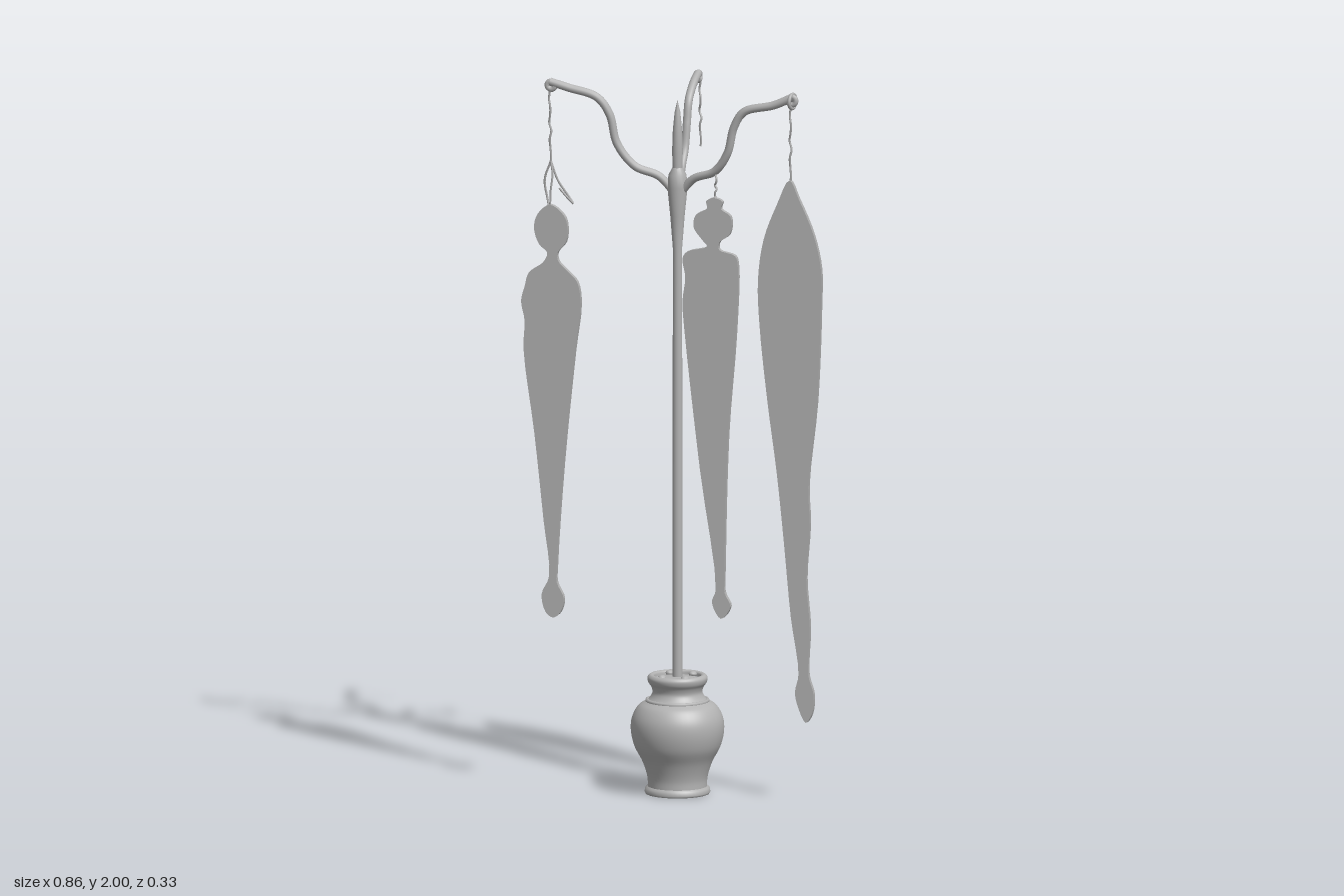
import * as THREE from 'three';

const AXIS_Z = 0.037; // pot and pole axis
const HANG_Z = 0.086; // plane of the hanging blades

export function createModel() {
  const root = new THREE.Group();
  const grey = new THREE.MeshStandardMaterial({ color: 0xb2b2b2 });
  grey.name = 'plain grey';

  const add = (name, geometry, x = 0, y = 0, z = 0) => {
    const mesh = new THREE.Mesh(geometry, grey);
    mesh.name = name;
    mesh.position.set(x, y, z);
    root.add(mesh);
    return mesh;
  };
  const curve = (pts) => new THREE.CatmullRomCurve3(pts.map((p) => new THREE.Vector3(...p)), false, 'centripetal');
  const lathe = (pts, seg) => new THREE.LatheGeometry(pts.map(([r, y]) => new THREE.Vector2(r, y)), seg);
  const smoothProfile = (pts, n) => curve(pts.map(([r, y]) => [r, y, 0])).getPoints(n).map((p) => [Math.max(p.x, 0), p.y]);

  // Pot: foot, belly, neck and lip
  add('potFoot', lathe([[0, 0], [0.088, 0], [0.091, 0.005], [0.089, 0.016], [0.08, 0.022]], 48), 0, 0, AXIS_Z);
  add('potBody', lathe(smoothProfile([[0.082, 0.015], [0.083, 0.045], [0.097, 0.09], [0.12, 0.135], [0.129, 0.18],
    [0.125, 0.215], [0.108, 0.245], [0.086, 0.26]], 36), 48), 0, 0, AXIS_Z);
  add('potNeck', lathe(smoothProfile([[0.086, 0.258], [0.074, 0.272], [0.069, 0.285], [0.073, 0.3], [0.081, 0.312],
    [0.083, 0.325], [0.076, 0.333], [0.066, 0.331], [0.063, 0.32]], 36), 48), 0, 0, AXIS_Z);
  const collar = add('potCollarRing', new THREE.TorusGeometry(0.083, 0.006, 8, 48), 0, 0.26, AXIS_Z);
  collar.rotation.x = Math.PI / 2;
  add('potFilling', lathe([[0.066, 0.318], [0.05, 0.324], [0, 0.328]], 32), 0, 0, AXIS_Z);
  for (const sx of [-1, 1]) for (const sz of [-1, 1]) {
    const stud = add('fillingStud', new THREE.SphereGeometry(0.012, 10, 8), sx * 0.033, 0.328, AXIS_Z + sz * 0.04);
    stud.scale.y = 0.7;
  }

  // Pole flaring into a fork, with a pointed spike in the middle
  add('pole', lathe([[0.014, 0.31], [0.014, 0.9], [0.013, 1.3], [0.013, 1.53], [0.02, 1.62],
    [0.028, 1.7], [0.025, 1.735], [0.014, 1.755]], 20), 0, 0, AXIS_Z);
  add('centreSpike', lathe([[0.012, 1.72], [0.015, 1.8], [0.013, 1.86], [0.008, 1.91], [0, 1.945]], 16), 0, 0, AXIS_Z);

  // Three curved arms, each finished with a curled eye
  const arms = {
    rightArm: [[-0.005, 1.68, 0.037], [-0.05, 1.73, 0.047], [-0.115, 1.757, 0.06], [-0.165, 1.82, 0.067],
      [-0.185, 1.9, 0.07], [-0.22, 1.948, 0.075], [-0.3, 1.973, 0.085], [-0.35, 1.988, 0.09]],
    leftArm: [[0.005, 1.68, 0.037], [0.05, 1.728, 0.05], [0.115, 1.755, 0.068], [0.155, 1.81, 0.08],
      [0.175, 1.885, 0.085], [0.205, 1.93, 0.088], [0.29, 1.953, 0.09], [0.345, 1.978, 0.09]],
    backArm: [[0.002, 1.67, 0.032], [0.004, 1.75, 0.008], [0.006, 1.8, -0.018], [0.008, 1.87, -0.032],
      [0.009, 1.93, -0.048], [0.01, 1.97, -0.095], [0.01, 1.988, -0.14]],
  };
  for (const [name, pts] of Object.entries(arms)) {
    add(name, new THREE.TubeGeometry(curve(pts), 60, 0.0115, 12));
    const back = name === 'backArm';
    const [x, y, z] = pts[pts.length - 1];
    const eye = add(name + 'Eye', new THREE.TorusGeometry(0.011, 0.008, 10, 20),
      x - (back ? 0 : Math.sign(x) * 0.003), y - 0.01, z - (back ? 0.008 : 0));
    if (back) eye.rotation.y = Math.PI / 2;
  }

  // Kinked cords
  const cord = (name, from, to) => {
    const pts = [];
    for (let i = 0; i <= 10; i++) {
      const t = i / 10, w = 0.004 * Math.sin(Math.PI * t);
      pts.push([0, 1, 2].map((k) => from[k] + (to[k] - from[k]) * t));
      pts[i][0] += w * Math.sin(i * 2.3);
      pts[i][2] += w * Math.cos(i * 1.9);
    }
    add(name, new THREE.TubeGeometry(curve(pts), 50, 0.003, 6));
  };
  cord('rightCord', [-0.352, 1.985, 0.09], [-0.349, 1.76, HANG_Z]);
  cord('middleCord', [0.122, 1.765, 0.072], [0.121, 1.67, HANG_Z]);
  cord('leftCord', [0.338, 1.975, 0.09], [0.337, 1.735, HANG_Z]);
  cord('backCord', [0.012, 1.98, -0.153], [0.012, 1.78, -0.16]);

  // Untied knot above the right blade, and a cord wrap on the left arm
  add('knotLoop', new THREE.TubeGeometry(curve([[-0.349, 1.765, HANG_Z], [-0.368, 1.71, 0.08], [-0.362, 1.66, 0.075],
    [-0.352, 1.63, HANG_Z], [-0.348, 1.68, 0.092], [-0.343, 1.73, 0.09], [-0.349, 1.765, HANG_Z]]), 40, 0.003, 6));
  add('knotTail', new THREE.TubeGeometry(curve([[-0.349, 1.765, HANG_Z], [-0.33, 1.71, 0.08], [-0.305, 1.67, 0.072],
    [-0.288, 1.645, 0.072], [-0.3, 1.66, 0.08], [-0.325, 1.69, 0.086]]), 30, 0.003, 6));
  const wrap = add('cordWrap', new THREE.TorusGeometry(0.02, 0.005, 8, 20), 0.343, 1.966, 0.088);
  wrap.rotation.y = 1.35;

  // Flat hanging blades cut from closed outlines
  const blade = (name, outline) => {
    const loop = new THREE.CatmullRomCurve3(outline.map(([x, y]) => new THREE.Vector3(x, y, 0)), true, 'centripetal');
    const shape = new THREE.Shape(loop.getPoints(outline.length * 4).slice(0, -1).map((p) => new THREE.Vector2(p.x, p.y)));
    add(name, new THREE.ExtrudeGeometry(shape, { depth: 0.016, bevelEnabled: false }), 0, 0, HANG_Z - 0.008);
  };
  blade('rightBlade', [[-0.35, 1.643], [-0.385, 1.615], [-0.395, 1.575], [-0.38, 1.53], [-0.357, 1.508], [-0.37, 1.48],
    [-0.41, 1.45], [-0.422, 1.41], [-0.432, 1.37], [-0.422, 1.315], [-0.425, 1.235], [-0.394, 1], [-0.368, 0.76],
    [-0.352, 0.6], [-0.373, 0.55], [-0.362, 0.5], [-0.341, 0.485], [-0.32, 0.5], [-0.31, 0.54], [-0.33, 0.585],
    [-0.33, 0.63], [-0.31, 0.92], [-0.278, 1.235], [-0.262, 1.37], [-0.272, 1.43], [-0.3, 1.46], [-0.325, 1.485],
    [-0.328, 1.508], [-0.304, 1.54], [-0.3, 1.585], [-0.31, 1.615]]);
  blade('middleBlade', [[0.12, 1.685], [0.098, 1.675], [0.1, 1.655], [0.068, 1.635], [0.062, 1.6], [0.087, 1.565],
    [0.1, 1.548], [0.042, 1.53], [0.03, 1.51], [0.038, 1.46], [0.03, 1.39], [0.035, 1.315], [0.08, 0.92],
    [0.125, 0.585], [0.114, 0.55], [0.14, 0.505], [0.167, 0.54], [0.15, 0.58], [0.15, 0.65], [0.16, 1.02],
    [0.183, 1.315], [0.188, 1.5], [0.18, 1.525], [0.135, 1.54], [0.135, 1.56], [0.165, 1.585], [0.167, 1.635],
    [0.14, 1.655], [0.144, 1.675]]);
  blade('leftBlade', [[0.336, 1.745], [0.3, 1.675], [0.262, 1.575], [0.246, 1.46], [0.25, 1.34], [0.272, 1.13],
    [0.3, 0.92], [0.32, 0.73], [0.34, 0.52], [0.362, 0.36], [0.352, 0.31], [0.36, 0.27], [0.383, 0.225],
    [0.4, 0.25], [0.405, 0.305], [0.39, 0.36], [0.394, 0.495], [0.384, 0.63], [0.394, 0.785], [0.39, 0.89],
    [0.415, 1.13], [0.426, 1.395], [0.426, 1.5], [0.405, 1.595], [0.362, 1.695]]);

  return root;
}
